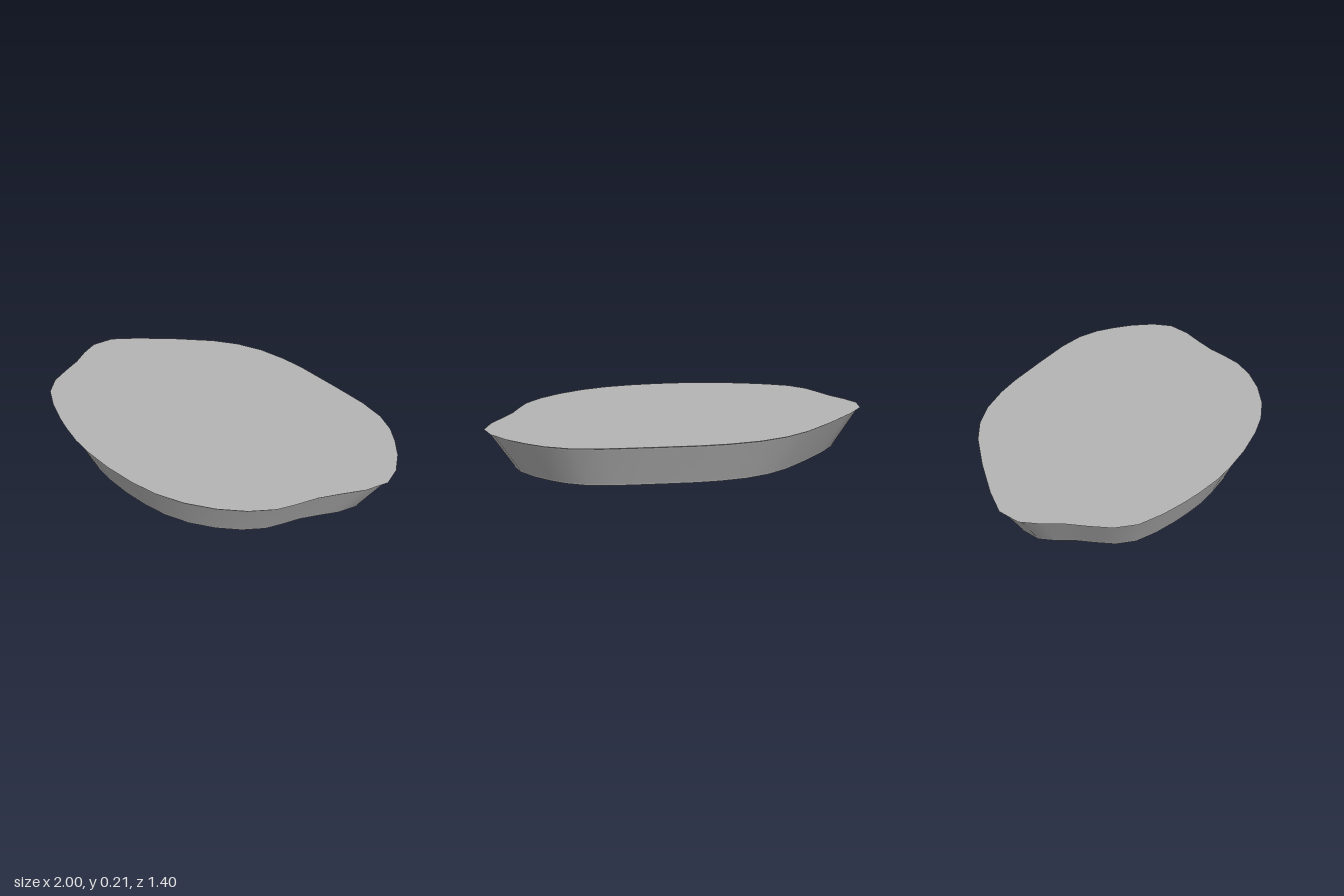
import * as THREE from 'three';

// Irregular rounded outline (x, z), running from +x round the back, left and front
const OUTLINE = [
  [1, 0], [0.99, -0.11], [0.94, -0.23], [0.875, -0.33], [0.81, -0.41], [0.715, -0.485],
  [0.58, -0.545], [0.375, -0.605], [0.135, -0.67], [0, -0.695], [-0.16, -0.705], [-0.31, -0.685],
  [-0.45, -0.635], [-0.64, -0.53], [-0.835, -0.405], [-0.955, -0.31], [-1, -0.2], [-0.985, -0.1],
  [-0.955, 0], [-0.94, 0.11], [-0.92, 0.22], [-0.865, 0.32], [-0.765, 0.405], [-0.65, 0.48],
  [-0.56, 0.53], [-0.445, 0.585], [-0.33, 0.625], [-0.17, 0.665], [0, 0.69], [0.14, 0.695],
  [0.29, 0.675], [0.44, 0.625], [0.57, 0.555], [0.67, 0.47], [0.725, 0.39], [0.785, 0.29],
  [0.86, 0.2], [0.94, 0.11],
];
const HEIGHT = 0.21;
const BASE_SCALE = 0.855;

// Smooth skirt through scaled copies of the outline, given as [scale, y]
function skirt(rings) {
  const n = OUTLINE.length;
  const positions = [];
  const indices = [];
  rings.forEach(([s, y], r) => {
    OUTLINE.forEach(([x, z], i) => {
      positions.push(x * s, y, z * s);
      if (r === 0) return;
      const j = (i + 1) % n;
      const a = (r - 1) * n + i, b = (r - 1) * n + j;
      const c = r * n + i, d = r * n + j;
      indices.push(a, b, d, a, d, c);
    });
  });
  const geometry = new THREE.BufferGeometry();
  geometry.setAttribute('position', new THREE.Float32BufferAttribute(positions, 3));
  geometry.setIndex(indices);
  geometry.computeVertexNormals();
  return geometry;
}

// Flat face filling the outline, turned up or down
function cap(scale, y, up) {
  const sign = up ? -1 : 1;
  const shape = new THREE.Shape(OUTLINE.map(([x, z]) => new THREE.Vector2(x * scale, sign * z * scale)));
  const geometry = new THREE.ShapeGeometry(shape);
  geometry.rotateX(sign * Math.PI / 2);
  geometry.translate(0, y, 0);
  return geometry;
}

export function createModel() {
  const group = new THREE.Group();
  group.name = 'slab';
  const grey = new THREE.MeshStandardMaterial({ color: 0xb4b4b4 });
  grey.name = 'grey';

  const add = (name, geometry) => {
    const mesh = new THREE.Mesh(geometry, grey);
    mesh.name = name;
    group.add(mesh);
  };

  add('topFace', cap(1, HEIGHT, true));
  add('bottomFace', cap(BASE_SCALE, 0, false));
  // Sloping wall with a small foot at the base and a thin lip at the top
  add('slopingWall', skirt([[BASE_SCALE, 0], [BASE_SCALE + 0.003, 0.01], [0.978, 0.195], [0.983, 0.205]]));
  add('topLip', skirt([[0.983, 0.205], [1, HEIGHT]]));

  return group;
}
